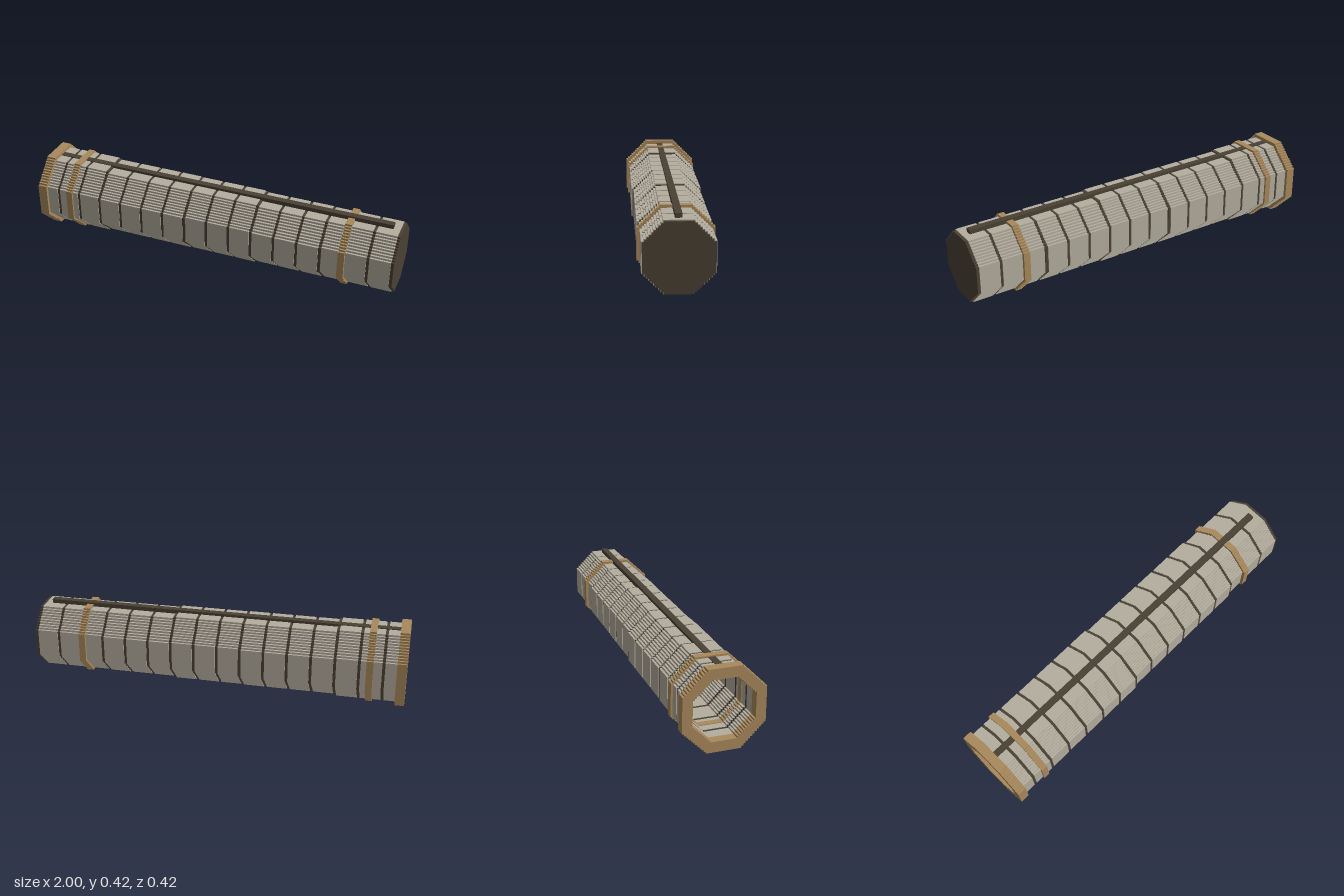
import * as THREE from 'three';

const STEP = 0.0104;  // size of one stair step on the diagonals
const CY = 0.213;     // height of the tube axis
const BORE = 0.157;   // half-width of the hollow inside

const shellGrey = new THREE.MeshStandardMaterial({ color: 0xb4ae9f });
shellGrey.name = 'shellGrey';
const bandTan = new THREE.MeshStandardMaterial({ color: 0xa9895c });
bandTan.name = 'bandTan';
const darkBrown = new THREE.MeshStandardMaterial({ color: 0x4a4134 });
darkBrown.name = 'darkBrown';

// Octagon outline whose diagonals are cut into stair steps
function outline(hz, hy) {
  const fz = hz * 0.425, fy = hy * 0.435;
  const n = Math.max(1, Math.round((hy - fy) / STEP));
  const dz = (hz - fz) / n, dy = (hy - fy) / n;
  const quarter = [];
  for (let i = 0; i < n; i++) {
    quarter.push([hz - i * dz, fy + i * dy], [hz - (i + 1) * dz, fy + i * dy]);
  }
  quarter.push([fz, hy]);
  const back = [...quarter].reverse();
  return [
    ...quarter,
    ...back.map(([z, y]) => [-z, y]),
    ...quarter.map(([z, y]) => [-z, -y]),
    ...back.map(([z, y]) => [z, -y]),
  ].map(([z, y]) => new THREE.Vector2(z, y));
}

// Stepped octagonal ring (or solid plate when bore is 0) from x0 to x1
function ring(name, material, x0, x1, hz, hy, bore = BORE) {
  const shape = new THREE.Shape(outline(hz, hy));
  if (bore > 0) shape.holes.push(new THREE.Path(outline(bore, bore)));
  const geo = new THREE.ExtrudeGeometry(shape, { depth: x1 - x0, bevelEnabled: false });
  geo.rotateY(Math.PI / 2);
  geo.translate(x0, CY, 0);
  const mesh = new THREE.Mesh(geo, material);
  mesh.name = name;
  return mesh;
}

export function createModel() {
  const model = new THREE.Group();
  model.name = 'steppedTube';

  // Tapering shell sections, each followed by a recessed dark joint
  const count = 16, pitch = 2 / count, joint = 0.015;
  for (let i = 0; i < count; i++) {
    const hz = i < 7 ? 0.192 : i < 13 ? 0.182 : 0.172;
    const hy = i < 3 ? 0.192 : i < 10 ? 0.182 : 0.174;
    const x0 = i === 0 ? -0.95 : -1 + i * pitch;
    const x1 = -1 + (i + 1) * pitch;
    const last = i === count - 1;
    model.add(ring('shellSection', shellGrey, x0, x1 - joint, hz, hy));
    model.add(ring(last ? 'endCap' : 'joint', darkBrown, x1 - joint, x1,
      hz - 0.004, hy - 0.004, last ? 0 : BORE));
  }

  // Tan collar at the open end and two bands
  model.add(ring('mouthCollar', bandTan, -1, -0.95, 0.208, 0.2115));
  model.add(ring('rearBand', bandTan, -0.83, -0.795, 0.202, 0.202, BORE - 0.003));
  model.add(ring('frontBand', bandTan, 0.715, 0.75, 0.187, 0.187, BORE - 0.003));

  // Dark rail along the top
  const rail = new THREE.Mesh(new THREE.BoxGeometry(1.9, 0.026, 0.034), darkBrown);
  rail.name = 'topRail';
  rail.position.set(0, 0.396, 0);
  model.add(rail);

  return model;
}
